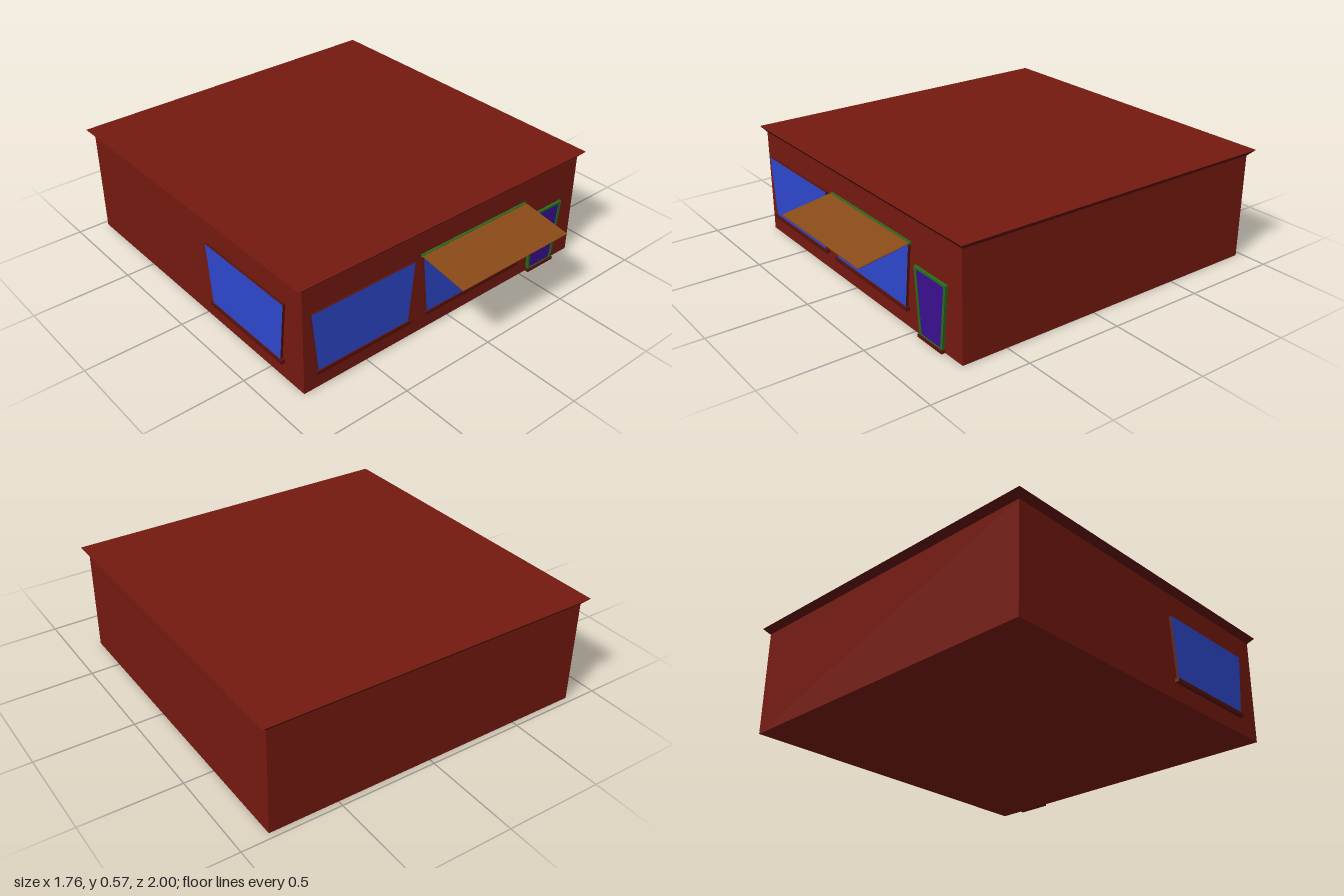
import * as THREE from 'three';

const mat = (color) => new THREE.MeshStandardMaterial({ color, flatShading: true });
const BRICK = mat(0x74190f), TRIM = mat(0x581009), GLASS = mat(0x2d47cc);
const GREEN = mat(0x2a6a1c), DOOR = mat(0x3a1090);
const AWNING = new THREE.MeshStandardMaterial({ color: 0x8a4a17, side: THREE.DoubleSide });

const FRONT = 0.735, SIDE = -0.85;

function add(parent, name, geometry, material, x = 0, y = 0, z = 0) {
  const mesh = new THREE.Mesh(geometry, material);
  mesh.name = name;
  mesh.position.set(x, y, z);
  parent.add(mesh);
  return mesh;
}

// Upright trapezoid, wider at the top
function trapezoid(topHalf, bottomHalf, y0, y1, Type = THREE.Shape) {
  return new Type([
    new THREE.Vector2(-bottomHalf, y0), new THREE.Vector2(bottomHalf, y0),
    new THREE.Vector2(topHalf, y1), new THREE.Vector2(-topHalf, y1),
  ]);
}

const extrude = (shape, depth) => new THREE.ExtrudeGeometry(shape, { depth, bevelEnabled: false });

// Raised glass pane with red edges and a sill, facing +z
function makeWindow(name, topHalf, bottomHalf, sillHalf) {
  const group = new THREE.Group();
  group.name = name;
  add(group, 'pane', extrude(trapezoid(topHalf, bottomHalf, 0.1, 0.415), 0.013), [GLASS, TRIM]);
  add(group, 'sill', new THREE.BoxGeometry(sillHalf * 2, 0.018, 0.02), TRIM, 0, 0.095, 0.01);
  return group;
}

export function createModel() {
  const model = new THREE.Group();
  model.name = 'shop';

  // Main block
  add(model, 'walls', new THREE.BoxGeometry(1.7, 0.54, 1.705), BRICK, 0, 0.27, -0.1175);

  // Flared cornice, narrower at its foot, with the flat roof on top
  const cornice = new THREE.BoxGeometry(1.76, 0.03, 1.76);
  const p = cornice.attributes.position;
  for (let i = 0; i < p.count; i++) {
    if (p.getY(i) < 0) p.setXYZ(i, p.getX(i) * 0.968, p.getY(i), p.getZ(i) * 0.97);
  }
  cornice.computeVertexNormals();
  add(model, 'roof', cornice, [TRIM, TRIM, BRICK, TRIM, TRIM, TRIM], 0, 0.555, -0.12);

  // Two front windows and one on the right-hand wall
  const corner = makeWindow('cornerWindow', 0.29, 0.257, 0.272);
  corner.position.set(-0.523, 0, FRONT);
  const middle = makeWindow('middleWindow', 0.33, 0.297, 0.31);
  middle.position.set(0.148, 0, FRONT);
  const side = makeWindow('sideWindow', 0.29, 0.257, 0.272);
  side.position.set(SIDE, 0, 0.33);
  side.rotation.y = -Math.PI / 2;
  model.add(corner, middle, side);

  // Sloping awning over the middle window, hung from a green rail
  const awning = new THREE.Group();
  awning.name = 'awning';
  const drop = 0.042, reach = 0.255;
  const sheet = add(awning, 'awningSheet',
    new THREE.BoxGeometry(0.675, 0.004, Math.hypot(drop, reach)), AWNING,
    0.148, 0.404, 1 - reach / 2);
  sheet.rotation.x = Math.atan2(drop, reach);
  add(awning, 'awningRail', new THREE.BoxGeometry(0.675, 0.012, 0.012), GREEN, 0.148, 0.424, FRONT + 0.006);
  model.add(awning);

  // Tapered door in a green frame, with a low step
  const door = new THREE.Group();
  door.name = 'door';
  door.position.set(0.634, 0, FRONT);
  const frame = trapezoid(0.118, 0.085, 0.01, 0.335);
  frame.holes.push(trapezoid(0.103, 0.072, 0.018, 0.324, THREE.Path));
  add(door, 'doorFrame', extrude(frame, 0.014), GREEN);
  add(door, 'doorPanel', extrude(trapezoid(0.103, 0.072, 0.018, 0.324), 0.01), DOOR);
  add(door, 'doorStep', new THREE.BoxGeometry(0.18, 0.015, 0.02), TRIM, 0, 0.0075, 0.01);
  model.add(door);

  return model;
}
